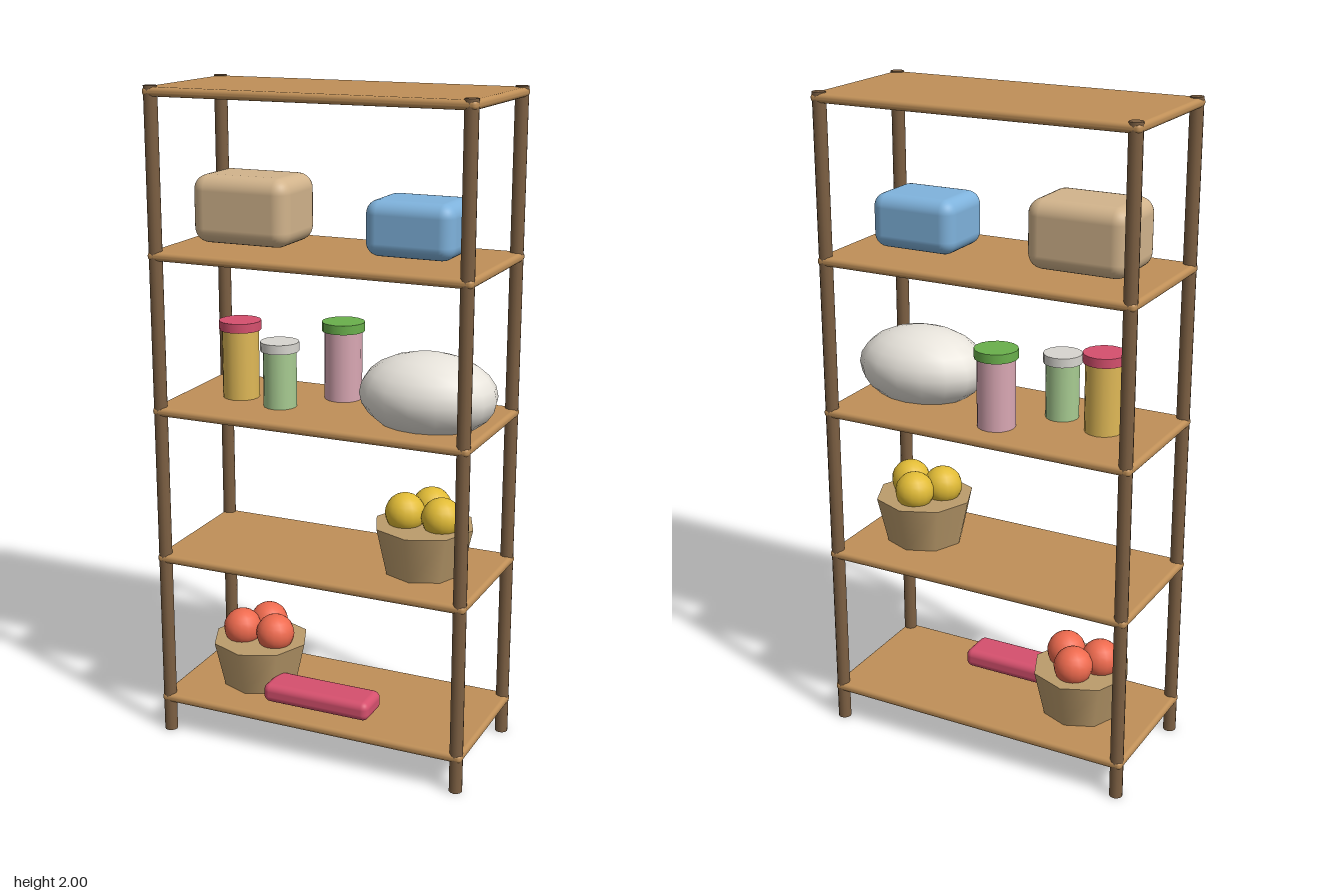
import * as THREE from 'three';
import { RoundedBoxGeometry } from 'three/addons/geometries/RoundedBoxGeometry.js';

const mat = (color) => new THREE.MeshStandardMaterial({ color });
const wood = mat(0xc09058), post = mat(0x7d6043), wicker = mat(0xbc9c6c);

function add(parent, name, geometry, material, x, y, z) {
  const mesh = new THREE.Mesh(geometry, material);
  mesh.name = name;
  mesh.position.set(x, y, z);
  parent.add(mesh);
  return mesh;
}

// Rounded box standing on y
function box(parent, name, color, [w, h, d], r, x, y, z) {
  add(parent, name, new RoundedBoxGeometry(w, h, d, 4, r), mat(color), x, y + h / 2, z);
}

// Jar with an overhanging lid
function jar(parent, name, color, lidColor, r, h, x, y, z) {
  const g = new THREE.Group();
  g.name = name;
  g.position.set(x, y, z);
  add(g, 'jarBody', new THREE.CylinderGeometry(r, r, h, 16), mat(color), 0, h / 2, 0);
  add(g, 'jarLid', new THREE.CylinderGeometry(r + 0.008, r + 0.008, 0.028, 16), mat(lidColor), 0, h + 0.014, 0);
  parent.add(g);
}

// Tapered eight-sided basket with three fruits on top
function basket(parent, name, color, x, y, z) {
  const g = new THREE.Group();
  g.name = name;
  g.position.set(x, y, z);
  add(g, 'basketBody', new THREE.CylinderGeometry(0.153, 0.12, 0.145, 8), wicker, 0, 0.0725, 0);
  const fruit = new THREE.SphereGeometry(0.06, 16, 12), skin = mat(color);
  for (const [fx, fz] of [[-0.054, 0.019], [0.061, 0.019], [0, -0.061]])
    add(g, 'fruit', fruit, skin, fx, 0.178, fz);
  parent.add(g);
}

export function createModel() {
  const model = new THREE.Group();
  model.name = 'stockedShelf';
  const cx = -0.011, spacing = 0.468;

  // Corner posts
  const postGeo = new THREE.CylinderGeometry(0.02, 0.02, 2, 12);
  for (const sx of [-1, 1]) for (const sz of [-1, 1])
    add(model, 'post', postGeo, post, cx + sx * 0.479, 1, sz * 0.208);

  // Shelf boards
  const boardGeo = new RoundedBoxGeometry(0.998, 0.027, 0.456, 3, 0.012);
  for (let i = 0; i < 5; i++)
    add(model, 'shelfBoard', boardGeo, wood, cx, 0.111 + i * spacing, 0);

  // Bottom shelf: red fruit basket and a flat packet
  basket(model, 'redFruitBasket', 0xee6a4e, -0.272, 0.125, 0.004);
  box(model, 'packet', 0xd6506e, [0.352, 0.06, 0.12], 0.022, -0.012, 0.131, 0.105);

  // Second shelf: yellow fruit basket
  basket(model, 'yellowFruitBasket', 0xe2bc36, 0.278, 0.593, 0.004);

  // Third shelf: jars and a plump sack
  jar(model, 'yellowJar', 0xe0b957, 0xd6506e, 0.056, 0.21, -0.325, 1.06, 0.005);
  jar(model, 'greenJar', 0xa8cc92, 0xd8d6d0, 0.05, 0.17, -0.17, 1.06, 0.052);
  jar(model, 'pinkJar', 0xdaa8b4, 0x6ab04c, 0.057, 0.21, -0.034, 1.06, -0.105);
  const sack = add(model, 'sack', new THREE.SphereGeometry(1, 16, 12), mat(0xe8e4dc), 0.299, 1.148, 0.044);
  sack.scale.set(0.206, 0.122, 0.157);

  // Fourth shelf: two rounded boxes
  box(model, 'tanBox', 0xd2b48c, [0.31, 0.2, 0.222], 0.045, -0.275, 1.54, 0);
  box(model, 'blueBox', 0x7fb3dd, [0.268, 0.16, 0.206], 0.04, 0.248, 1.54, 0);

  return model;
}
